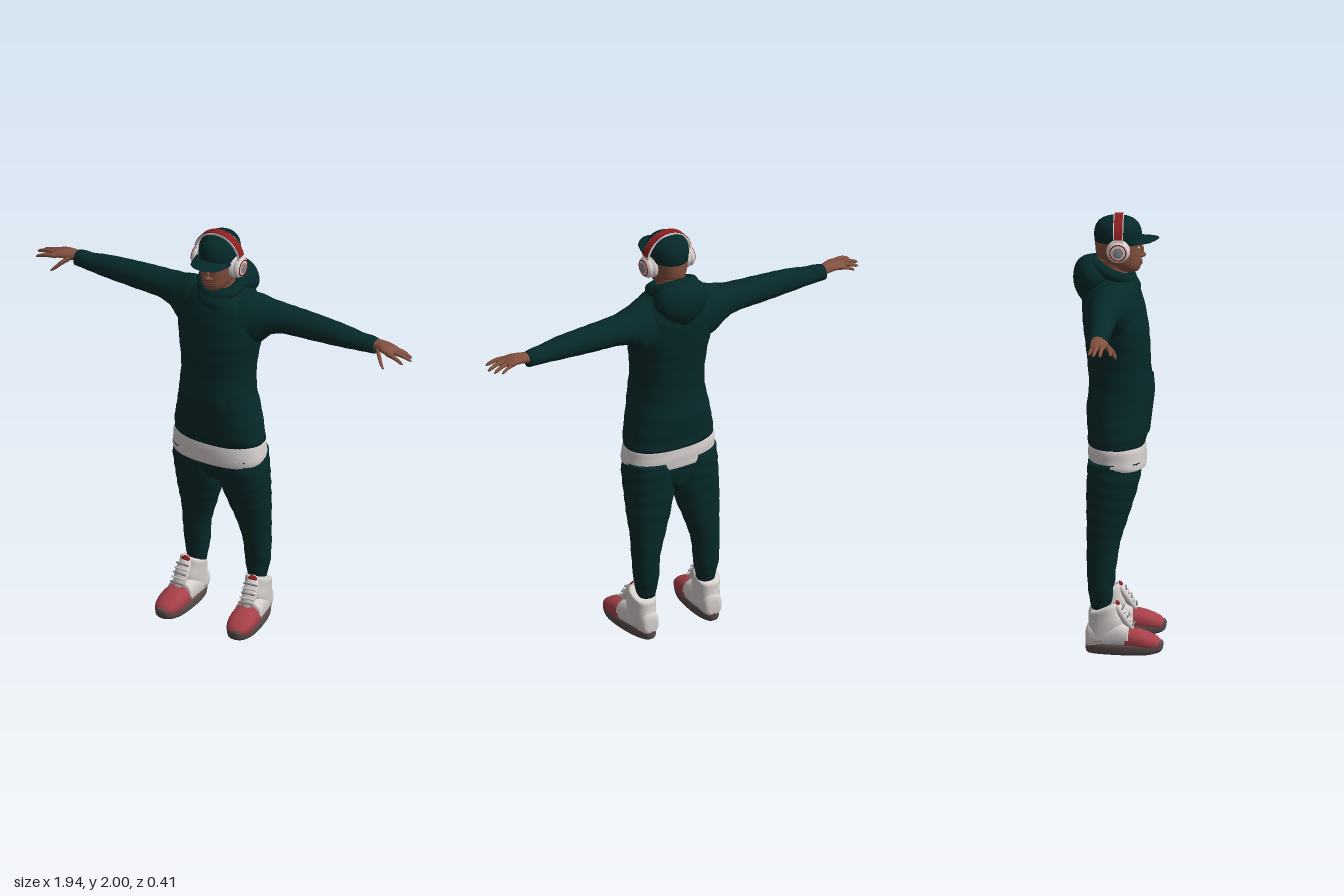
import * as THREE from 'three';

const paint = (name, color, side = THREE.FrontSide) => {
  const m = new THREE.MeshStandardMaterial({ color, side });
  m.name = name;
  return m;
};

// Smooth skin over oval cross-sections [t, c1, c2, r1, r2] along one axis, t ascending.
// Axis y: c = x,z. Axis x: c = y,z. Axis z: c = x,y.
function loft(sections, { axis = 'y', n = 32, steps = 5, e = 2, fold = 0, a0 = 0, a1 = Math.PI * 2 } = {}) {
  const closed = a1 - a0 > 6.28;
  const centres = new THREE.CatmullRomCurve3(sections.map(s => new THREE.Vector3(s[0], s[1], s[2])), false, 'catmullrom', 0.5);
  const radii = new THREE.CatmullRomCurve3(sections.map(s => new THREE.Vector3(s[3], s[4], 0)), false, 'catmullrom', 0.5);
  const rows = (sections.length - 1) * steps, cols = closed ? n : n + 1;
  const pos = [], idx = [];
  const put = (t, c1, c2, d1, d2) => {
    if (axis === 'y') pos.push(c1 + d1, t, c2 + d2);
    else if (axis === 'x') pos.push(t, c1 + d1, c2 + d2);
    else pos.push(c1 + d1, c2 + d2, t);
  };
  const pw = v => Math.sign(v) * Math.abs(v) ** (2 / e);
  for (let i = 0; i <= rows; i++) {
    const c = centres.getPoint(i / rows), r = radii.getPoint(i / rows);
    for (let j = 0; j < cols; j++) {
      const a = a0 + (a1 - a0) * j / n;
      const k = 1 + fold * Math.sin(c.x * 85 + 2.5 * Math.sin(a + c.x * 9));
      let p = pw(Math.cos(a)), q = pw(Math.sin(a));
      if (axis !== 'y') [p, q] = [q, p];
      put(c.x, c.y, c.z, p * k * Math.max(r.x, 0.001), q * k * Math.max(r.y, 0.001));
    }
  }
  for (let i = 0; i < rows; i++) for (let j = 0; j < n; j++) {
    const A = i * cols + j, B = i * cols + (j + 1) % cols, C = A + cols, D = B + cols;
    // The z axis keeps the same turn as y; x needs its pair swapped above
    idx.push(A, C, B, B, C, D);
  }
  if (closed) {
    const first = sections[0], last = sections[sections.length - 1], k = pos.length / 3;
    put(first[0], first[1], first[2], 0, 0);
    put(last[0], last[1], last[2], 0, 0);
    for (let j = 0; j < n; j++) {
      const j2 = (j + 1) % n;
      idx.push(k, j, j2, k + 1, rows * n + j2, rows * n + j);
    }
  }
  const g = new THREE.BufferGeometry();
  g.setAttribute('position', new THREE.Float32BufferAttribute(pos, 3));
  g.setIndex(idx);
  g.computeVertexNormals();
  return g;
}

// Mirror image across x, with the corner order turned back
function mirrored(geo) {
  const g = geo.clone().scale(-1, 1, 1), ix = g.index;
  for (let i = 0; i < ix.count; i += 3) {
    const a = ix.getX(i);
    ix.setX(i, ix.getX(i + 2));
    ix.setX(i + 2, a);
  }
  return g;
}

const ball = (x, y, z, rx, ry, rz) => new THREE.SphereGeometry(1, 20, 14).scale(rx, ry, rz).translate(x, y, z);

// Flat arched strip in the xy plane, centred on z = 0
function arch(inner, outer, from, to, depth) {
  const s = new THREE.Shape();
  s.absarc(0, 0, outer, from, to, false);
  s.absarc(0, 0, inner, to, from, true);
  return new THREE.ExtrudeGeometry(s, { depth, bevelEnabled: false, curveSegments: 32 }).translate(0, 1.88, -depth / 2);
}

export function createModel() {
  const model = new THREE.Group();
  model.name = 'figure';
  const green = paint('dark green cloth', 0x06292a, THREE.DoubleSide);
  const white = paint('off white', 0xd6d0ce);
  const skin = paint('skin', 0x83513f);
  const lip = paint('lips', 0x6a3a33);
  const dark = paint('dark brown', 0x1d1513);
  const shoeRed = paint('shoe red', 0xa8404a);
  const bandRed = paint('headband red', 0x8c1f22);
  const soleGrey = paint('sole grey', 0x5a4c4a);
  const grey = paint('mid grey', 0x8a8787);

  const add = (name, geo, mat) => {
    const m = new THREE.Mesh(geo, mat);
    m.name = name;
    model.add(m);
  };
  const pair = (name, geo, mat) => {
    add('left ' + name, geo, mat);
    add('right ' + name, mirrored(geo), mat);
  };

  // Hoodie body, sleeves and pouch pocket
  add('hoodie body', loft([
    [0.945, 0, -0.01, 0.218, 0.13], [1.0, 0, -0.003, 0.214, 0.138], [1.1, 0, 0, 0.195, 0.146],
    [1.2, 0, 0.01, 0.177, 0.145], [1.3, 0, 0.002, 0.172, 0.143], [1.4, 0, -0.005, 0.183, 0.146],
    [1.5, 0, -0.016, 0.2, 0.147], [1.6, 0, -0.028, 0.195, 0.139], [1.66, 0, -0.035, 0.165, 0.125],
    [1.7, 0, -0.035, 0.12, 0.1], [1.725, 0, -0.03, 0.08, 0.07]], { n: 48, e: 2.3, fold: 0.006 }), green);
  pair('sleeve', loft([
    [0.08, 1.565, -0.025, 0.145, 0.12], [0.15, 1.57, -0.035, 0.13, 0.108], [0.2, 1.577, -0.045, 0.112, 0.095],
    [0.25, 1.595, -0.053, 0.081, 0.083], [0.32, 1.603, -0.06, 0.067, 0.071], [0.45, 1.603, -0.062, 0.062, 0.062],
    [0.6, 1.602, -0.062, 0.053, 0.053], [0.7, 1.598, -0.064, 0.042, 0.044], [0.75, 1.598, -0.067, 0.04, 0.04],
    [0.778, 1.596, -0.068, 0.036, 0.036]], { axis: 'x', fold: 0.014 }), green);
  add('pouch pocket', loft([
    [1.0, 0, 0, 0.216, 0.141], [1.1, 0, 0.003, 0.198, 0.15], [1.18, 0, 0.01, 0.183, 0.152],
    [1.25, 0, 0.008, 0.172, 0.149]], { n: 24, e: 2.3, a0: 0.95, a1: Math.PI - 0.95 }), green);

  // Hood: wrapped collar, rolled rim and hanging pouch
  add('hood collar', loft([
    [1.63, 0, 0.005, 0.115, 0.085], [1.665, 0, 0.012, 0.105, 0.086], [1.7, 0, 0.005, 0.1, 0.08],
    [1.725, 0, 0, 0.088, 0.066]], { fold: 0.02 }), green);
  const rim = [[0, 1.703, 0.055], [0.07, 1.712, 0.025], [0.093, 1.74, -0.04], [0.07, 1.768, -0.1], [0, 1.774, -0.125],
    [-0.07, 1.768, -0.1], [-0.093, 1.74, -0.04], [-0.07, 1.712, 0.025]].map(p => new THREE.Vector3(...p));
  add('hood rim', new THREE.TubeGeometry(new THREE.CatmullRomCurve3(rim, true), 48, 0.027, 12, true), green);
  add('hood pouch', loft([
    [1.6, 0, -0.15, 0.03, 0.02], [1.635, 0, -0.14, 0.085, 0.05], [1.68, 0, -0.125, 0.125, 0.08],
    [1.725, 0, -0.115, 0.132, 0.09], [1.765, 0, -0.12, 0.11, 0.074], [1.79, 0, -0.12, 0.075, 0.05],
    [1.802, 0, -0.12, 0.03, 0.02]]), green);

  // Shirt hem and trousers
  add('shirt hem', loft([
    [0.845, 0, -0.005, 0.222, 0.13], [0.87, 0, -0.006, 0.226, 0.132], [0.93, 0, -0.008, 0.222, 0.129],
    [0.965, 0, -0.008, 0.208, 0.122]], { n: 48, e: 2.4, fold: 0.006 }), white);
  add('trouser seat', loft([
    [0.7, 0, -0.035, 0.02, 0.05], [0.74, 0, -0.03, 0.07, 0.09], [0.8, 0, -0.02, 0.15, 0.11],
    [0.88, 0, -0.015, 0.2, 0.12]]), green);
  pair('trouser leg', loft([
    [0.2, 0.155, -0.075, 0.04, 0.042], [0.25, 0.157, -0.075, 0.05, 0.052], [0.3, 0.157, -0.077, 0.058, 0.057],
    [0.4, 0.156, -0.072, 0.063, 0.067], [0.5, 0.143, -0.065, 0.079, 0.075], [0.6, 0.13, -0.05, 0.099, 0.091],
    [0.7, 0.118, -0.035, 0.113, 0.108], [0.8, 0.115, -0.02, 0.116, 0.12], [0.88, 0.113, -0.015, 0.111, 0.122]],
  { e: 2.15, fold: 0.014 }), green);

  // Hands: palm, then fingers from thumb to little finger
  pair('palm', loft([
    [0.76, 1.6, -0.068, 0.025, 0.029], [0.8, 1.609, -0.064, 0.023, 0.033], [0.84, 1.609, -0.056, 0.02, 0.042],
    [0.872, 1.604, -0.052, 0.014, 0.044], [0.888, 1.602, -0.052, 0.008, 0.038]], { axis: 'x', n: 20, steps: 4 }), skin);
  const fingers = {
    thumb: [[0.795, 1.603, -0.045, 0.014], [0.825, 1.584, -0.012, 0.014], [0.848, 1.562, 0.01, 0.011], [0.865, 1.547, 0.02, 0.004]],
    'index finger': [[0.86, 1.604, -0.02, 0.012], [0.905, 1.601, -0.009, 0.01], [0.94, 1.59, -0.003, 0.008], [0.953, 1.584, -0.001, 0.003]],
    'middle finger': [[0.86, 1.606, -0.042, 0.012], [0.915, 1.602, -0.044, 0.01], [0.957, 1.589, -0.048, 0.008], [0.971, 1.583, -0.049, 0.003]],
    'ring finger': [[0.86, 1.604, -0.064, 0.011], [0.905, 1.599, -0.07, 0.01], [0.942, 1.587, -0.077, 0.008], [0.956, 1.581, -0.079, 0.003]],
    'little finger': [[0.85, 1.602, -0.083, 0.01], [0.885, 1.596, -0.09, 0.008], [0.915, 1.585, -0.097, 0.007], [0.925, 1.58, -0.099, 0.003]],
  };
  for (const [name, path] of Object.entries(fingers))
    pair(name, loft(path.map(p => [...p, p[3]]), { axis: 'x', n: 12, steps: 4 }), skin);

  // Head and face
  add('neck', loft([[1.65, 0, -0.025, 0.066, 0.066], [1.72, 0, -0.025, 0.062, 0.066], [1.8, 0, -0.03, 0.066, 0.07]]), skin);
  add('head', loft([
    [1.733, 0, 0.05, 0.025, 0.03], [1.742, 0, 0.03, 0.046, 0.062], [1.765, 0, 0.014, 0.064, 0.086],
    [1.8, 0, 0.001, 0.076, 0.1], [1.85, 0, -0.003, 0.083, 0.104], [1.9, 0, -0.004, 0.084, 0.103],
    [1.95, 0, -0.004, 0.07, 0.085], [1.975, 0, -0.004, 0.04, 0.05]], { e: 2.15 }), skin);
  add('nose bridge', ball(0, 1.828, 0.1, 0.01, 0.03, 0.014), skin);
  add('nose tip', ball(0, 1.81, 0.107, 0.014, 0.012, 0.015), skin);
  pair('nostril wing', ball(0.013, 1.807, 0.1, 0.01, 0.009, 0.012), skin);
  add('upper lip', ball(0, 1.781, 0.096, 0.027, 0.006, 0.011), lip);
  add('lower lip', ball(0, 1.77, 0.095, 0.024, 0.007, 0.011), lip);
  pair('eye white', ball(0.034, 1.851, 0.091, 0.014, 0.006, 0.006), white);
  pair('iris', ball(0.034, 1.851, 0.095, 0.006, 0.006, 0.004), dark);
  pair('eyebrow', ball(0.036, 1.868, 0.092, 0.02, 0.004, 0.006), dark);
  pair('ear', ball(0.085, 1.838, -0.008, 0.012, 0.032, 0.02), skin);

  // Cap crown and curved brim
  add('cap crown', loft([
    [1.875, 0, -0.003, 0.089, 0.107], [1.91, 0, -0.004, 0.092, 0.108], [1.945, 0, -0.005, 0.086, 0.1],
    [1.97, 0, -0.006, 0.068, 0.08], [1.985, 0, -0.006, 0.04, 0.048], [1.989, 0, -0.006, 0.01, 0.012]]), green);
  const brim = [];
  for (let i = -6; i <= 6; i++) {
    const u = i / 6, front = 0.07 + 0.112 * Math.sqrt(Math.max(0, 1 - u * u)), back = 0.045;
    brim.push([u * 0.087, 1.889 - 0.014 * u * u, (front + back) / 2, 0.005, (front - back) / 2]);
  }
  add('cap brim', loft(brim, { axis: 'x', n: 20, steps: 3 }), green);

  // Headphones
  add('headband frame', arch(0.109, 0.117, 0, Math.PI, 0.046), white);
  add('headband cover', arch(0.112, 0.12, 0.2, Math.PI - 0.2, 0.038), bandRed);
  const turned = points => new THREE.LatheGeometry(points.map(p => new THREE.Vector2(...p)), 32)
    .rotateZ(-Math.PI / 2).translate(0, 1.846, 0);
  pair('ear cushion', turned([[0.001, 0.07], [0.04, 0.07], [0.052, 0.078], [0.054, 0.09], [0.045, 0.098]]), white);
  pair('ear cup', turned([[0.04, 0.094], [0.049, 0.1], [0.05, 0.112], [0.043, 0.122], [0.03, 0.127], [0.001, 0.128]]), white);
  pair('ear cup ring', new THREE.TorusGeometry(0.036, 0.003, 8, 32).rotateY(Math.PI / 2).translate(0.125, 1.846, 0), bandRed);
  pair('ear cup disc', turned([[0.024, 0.126], [0.024, 0.13], [0.001, 0.131]]), grey);

  // High-top shoes, toes turned slightly out
  const shoe = (name, geo, mat) => pair('shoe ' + name, geo.rotateY(0.08).translate(0.174, 0, 0), mat);
  const sole = loft([
    [0, 0, 0.03, 0.056, 0.165], [0.01, 0, 0.031, 0.063, 0.174], [0.035, 0, 0.032, 0.065, 0.177],
    [0.048, 0, 0.032, 0.06, 0.172]], { e: 2.5, n: 40 });
  const sp = sole.attributes.position;
  for (let i = 0; i < sp.count; i++) {
    const z = sp.getZ(i);
    if (z < 0.05) sp.setX(i, sp.getX(i) * (1 + (z - 0.05) * 0.8)); // narrower heel
    if (z > 0.1) sp.setY(i, sp.getY(i) + (z - 0.1) ** 2 * 1.2); // toe spring
  }
  sole.computeVertexNormals();
  shoe('sole', sole, soleGrey);
  shoe('toe', loft([
    [0.04, 0, 0.065, 0.06, 0.052], [0.09, 0, 0.062, 0.063, 0.051], [0.14, 0, 0.055, 0.06, 0.042],
    [0.18, 0, 0.048, 0.045, 0.03], [0.2, 0, 0.044, 0.022, 0.014]], { axis: 'z', e: 2.3 }), shoeRed);
  shoe('upper', loft([
    [-0.143, 0, 0.07, 0.025, 0.035], [-0.13, 0, 0.078, 0.043, 0.055], [-0.08, 0, 0.08, 0.052, 0.065],
    [0, 0, 0.08, 0.058, 0.065], [0.055, 0, 0.072, 0.061, 0.056]], { axis: 'z', e: 2.4 }), white);
  const collar = loft([
    [0.06, 0, -0.068, 0.052, 0.073], [0.12, 0, -0.055, 0.055, 0.082], [0.17, 0, -0.06, 0.056, 0.069],
    [0.205, 0, -0.064, 0.057, 0.062], [0.212, 0, -0.064, 0.045, 0.05]], { e: 2.3 });
  const cp = collar.attributes.position;
  for (let i = 0; i < cp.count; i++) cp.setY(i, cp.getY(i) * (1 + (cp.getZ(i) + 0.06) * 1.9)); // higher at the front
  collar.computeVertexNormals();
  shoe('collar', collar, white);
  const lean = geo => geo.rotateX(-0.58).translate(0, 0.172, 0.028);
  shoe('tongue', lean(ball(0, 0, 0, 0.036, 0.08, 0.022)), white);
  shoe('tongue tab', lean(ball(0, 0.062, 0.008, 0.022, 0.014, 0.009)), bandRed);
  for (let i = 0; i < 5; i++)
    shoe('lace ' + (i + 1), lean(new THREE.CapsuleGeometry(0.0045, 0.062, 4, 8).rotateZ(Math.PI / 2)
      .translate(0, -0.055 + i * 0.022, 0.019)), i % 2 ? white : grey);
  return model;
}
